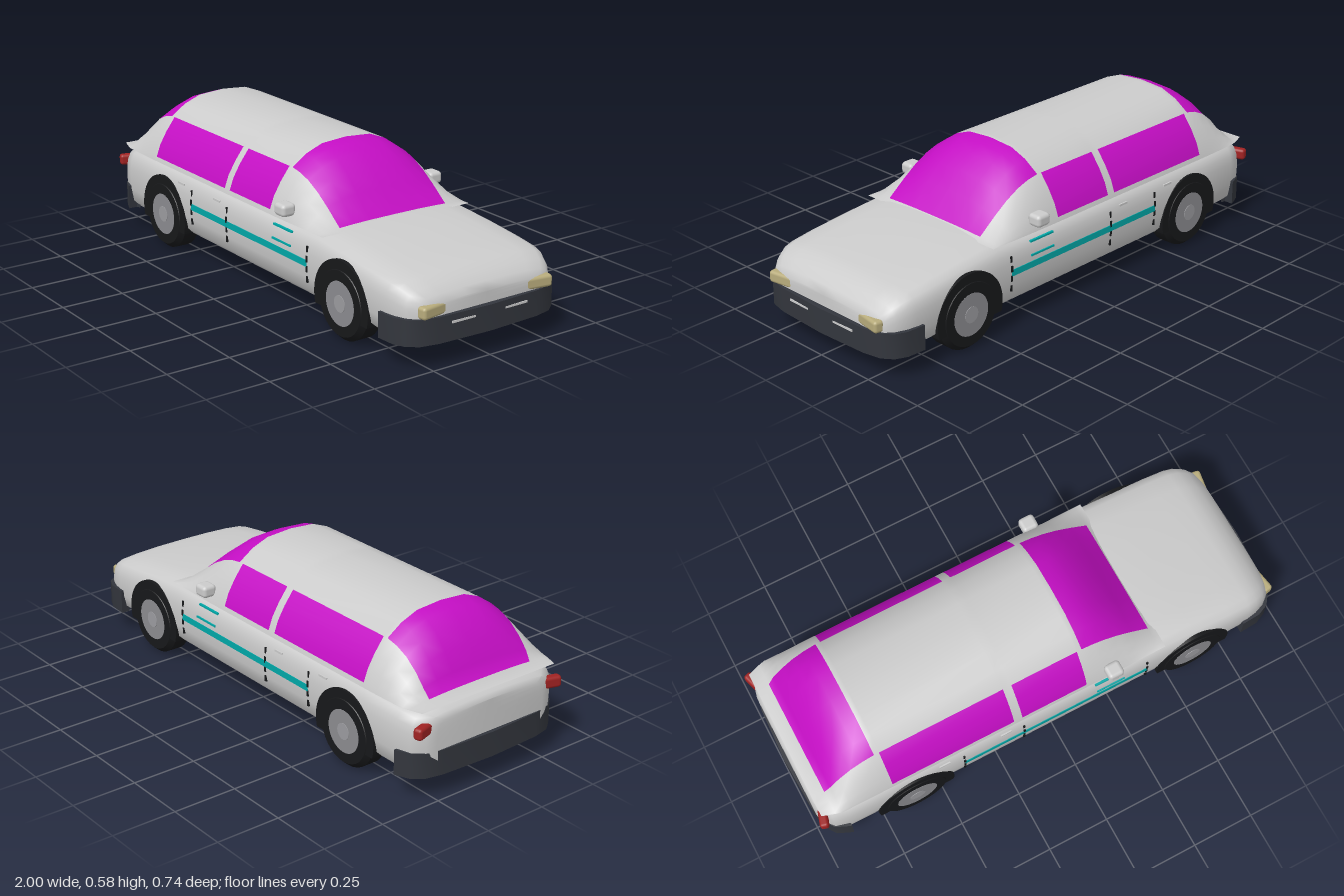
import * as THREE from 'three';
import { toCreasedNormals } from 'three/addons/utils/BufferGeometryUtils.js';
import { RoundedBoxGeometry } from 'three/addons/geometries/RoundedBoxGeometry.js';

const mat = (color) => new THREE.MeshStandardMaterial({ color, side: THREE.DoubleSide });
const paint = mat(0xcccccc), glass = mat(0xc40ec4), rubber = mat(0x17181a), trim = mat(0x33363d);
const teal = mat(0x00a8a8), red = mat(0xa02222), lamp = mat(0xb8ac7c);

// Vertices of cross-sections placed one after another along x
function ringGeometry(rings) {
  const g = new THREE.BufferGeometry();
  g.setAttribute('position', new THREE.Float32BufferAttribute(rings.flat(2), 3));
  return g;
}

// Quads between neighbouring sections, kept where keep(i, j) is true
function quads(rings, closed, keep = () => true) {
  const n = rings[0].length, index = [];
  for (let i = 0; i < rings.length - 1; i++) {
    for (let j = 0; j < (closed ? n : n - 1); j++) {
      if (!keep(i, j)) continue;
      const k = (j + 1) % n, a = i * n + j, b = a + n, c = (i + 1) * n + k, d = i * n + k;
      index.push(a, b, c, a, c, d);
    }
  }
  return index;
}

// Half section from the +z side to the middle, mirrored to the -z side
const mirrored = (half) => [...half, ...half.slice(0, -1).reverse().map(([z, y]) => [-z, y])];

export function createModel() {
  const car = new THREE.Group();
  const add = (name, geo, material, x = 0, y = 0, z = 0) => {
    const m = new THREE.Mesh(geo, material);
    m.name = name;
    m.position.set(x, y, z);
    car.add(m);
    return m;
  };

  // Lower body: section as fractions of half width and height
  const bodySection = mirrored([[0.88, 0], [0.96, 0.1], [0.99, 0.3], [1, 0.5], [0.995, 0.65],
    [0.98, 0.77], [0.94, 0.88], [0.86, 0.94], [0.65, 0.975], [0.35, 0.995], [0, 1]]);
  // x, half width, top, bottom
  const bodyStations = [
    [-0.985, 0, 0.31, 0.11], [-0.985, 0.25, 0.31, 0.11], [-0.975, 0.29, 0.328, 0.1], [-0.94, 0.33, 0.342, 0.095],
    [-0.88, 0.347, 0.356, 0.093], [-0.7, 0.348, 0.36, 0.093], [0.44, 0.348, 0.358, 0.093],
    [0.6, 0.348, 0.345, 0.093], [0.76, 0.348, 0.327, 0.093], [0.85, 0.345, 0.315, 0.093],
    [0.89, 0.338, 0.306, 0.094], [0.93, 0.322, 0.285, 0.095], [0.96, 0.298, 0.26, 0.1],
    [0.978, 0.26, 0.235, 0.105], [0.978, 0, 0.235, 0.105]];
  const bodyRings = bodyStations.map(([x, w, top, bot]) =>
    bodySection.map(([z, f]) => [x, bot + f * (top - bot), z * w]));
  const bodyGeo = ringGeometry(bodyRings);
  bodyGeo.setIndex(quads(bodyRings, true));
  add('lowerBody', toCreasedNormals(bodyGeo, 0.75), paint);

  // Cabin: one section scaled in height along x, glass cut out by grid cells
  const cabinSection = mirrored([[0.335, 0.34], [0.33, 0.357], [0.312, 0.405], [0.282, 0.455],
    [0.242, 0.508], [0.18, 0.55], [0.11, 0.577], [0, 0.585]]);
  // x, height scale, width scale
  const cabinStations = [[-0.975, 0, 0.93], [-0.925, 0.07, 0.98], [-0.9, 0.28, 1], [-0.86, 0.55, 1],
    [-0.81, 0.79, 1], [-0.76, 0.93, 1], [-0.71, 1, 1], [-0.69, 1, 1], [-0.18, 1, 1], [-0.145, 1, 1],
    [0.13, 1, 1], [0.15, 1, 1], [0.2, 0.95, 1], [0.25, 0.85, 1], [0.31, 0.66, 1], [0.37, 0.41, 1],
    [0.445, 0.06, 1], [0.47, 0, 1]];
  const cabinRings = cabinStations.map(([x, s, w]) =>
    cabinSection.map(([z, y]) => [x, 0.345 + s * (y - 0.345), z * w]));
  const cabinGeo = ringGeometry(cabinRings);
  cabinGeo.setIndex(quads(cabinRings, false));
  cabinGeo.computeVertexNormals();
  const isGlass = (i, j) => {
    const side = (j >= 1 && j <= 3) || (j >= 10 && j <= 12);
    const middle = j >= 4 && j <= 9;
    return (side && (i === 7 || i === 9)) || (middle && ((i >= 1 && i <= 5) || (i >= 11 && i <= 15)));
  };
  const cabinPart = (name, material, keep) => {
    const g = cabinGeo.clone();
    g.setIndex(quads(cabinRings, false, keep));
    add(name, g, material);
  };
  cabinPart('cabinShell', paint, (i, j) => !isGlass(i, j));
  cabinPart('windows', glass, isGlass);

  // Bumpers: a U-shaped band wrapping each end
  const bumper = (name, dir, back) => {
    const outer = [[back, 0.355], [0.9, 0.35], [0.945, 0.33], [0.975, 0.29], [0.99, 0.22], [1, 0]];
    const full = mirrored(outer.map(([x, z]) => [z, x])).map(([z, x]) => new THREE.Vector2(x * dir, z));
    const inner = full.map((p) => new THREE.Vector2(p.x - dir * (Math.abs(p.x) > back ? 0.035 : 0), p.y * 0.9));
    const geo = new THREE.ExtrudeGeometry(new THREE.Shape([...full, ...inner.reverse()]),
      { depth: 0.097, bevelEnabled: false });
    geo.rotateX(Math.PI / 2);
    add(name, toCreasedNormals(geo, 0.6), trim, 0, 0.186, 0);
  };
  bumper('frontBumper', 1, 0.825);
  bumper('rearBumper', -1, 0.885);
  add('bumperStrip', new THREE.BoxGeometry(0.02, 0.008, 0.335), paint, 0.987, 0.158, 0);

  // Wheels and arches
  const tyreProfile = [[0.08, -0.05], [0.122, -0.05], [0.14, -0.03], [0.14, 0.03], [0.122, 0.05], [0.08, 0.05]]
    .map(([r, y]) => new THREE.Vector2(r, y));
  const tyre = toCreasedNormals(new THREE.LatheGeometry(tyreProfile, 32).rotateX(Math.PI / 2), 0.5);
  const rim = new THREE.CylinderGeometry(0.083, 0.083, 0.102, 32).rotateX(Math.PI / 2);
  const hub = new THREE.CylinderGeometry(0.032, 0.032, 0.106, 20).rotateX(Math.PI / 2);
  const archShape = new THREE.Shape();
  archShape.absarc(0, 0, 0.16, -0.28, Math.PI + 0.28, false);
  const arch = new THREE.ExtrudeGeometry(archShape, { depth: 0.1, bevelEnabled: false, curveSegments: 32 });
  arch.translate(0, 0, -0.05);

  for (const s of [1, -1]) {
    const side = s > 0 ? 'Left' : 'Right';
    const prefix = s > 0 ? 'near' : 'far';
    for (const [end, x] of [['Front', 0.6], ['Rear', -0.61]]) {
      add(prefix + end + 'Arch', arch, rubber, x, 0.14, s * 0.3);
      add(prefix + end + 'Tyre', tyre, rubber, x, 0.14, s * 0.3025);
      add(prefix + end + 'Rim', rim, mat(0x8c8c90), x, 0.14, s * 0.3025);
      add(prefix + end + 'Hub', hub, mat(0x9c9ca0), x, 0.14, s * 0.3025);
    }

    // Side stripe, thin accent lines, door seams and handles
    add(prefix + 'SideStripe', new THREE.BoxGeometry(0.79, 0.025, 0.012), teal, -0.005, 0.226, s * 0.344);
    for (const [x, y, z] of [[0.225, 0.313, 0.334], [0.23, 0.263, 0.344]]) {
      add(prefix + 'AccentLine', new THREE.BoxGeometry(0.12, 0.007, 0.014), teal, x, y, s * z);
    }
    for (const x of [-0.4, -0.145, 0.39]) {
      for (const [y, z] of [[0.165, 0.342], [0.205, 0.344], [0.243, 0.345], [0.28, 0.341]]) {
        add(prefix + 'DoorSeam', new THREE.BoxGeometry(0.008, 0.024, 0.011), rubber, x, y, s * z);
      }
    }
    for (const x of [-0.48, -0.22]) {
      add(prefix + 'DoorHandle', new THREE.BoxGeometry(0.045, 0.008, 0.014), paint, x, 0.3, s * 0.337);
    }

    // Door mirror on a short stalk
    add(prefix + 'Mirror', new RoundedBoxGeometry(0.065, 0.048, 0.06, 2, 0.015), paint, 0.24, 0.39, s * 0.339);
    add(prefix + 'MirrorStalk', new THREE.BoxGeometry(0.035, 0.02, 0.05), paint, 0.24, 0.375, s * 0.318);

    // Lamps follow the rounded corners
    const head = add(prefix + 'Headlamp', new RoundedBoxGeometry(0.04, 0.046, 0.135, 2, 0.012), lamp, 0.964, 0.209, s * 0.224);
    head.rotation.y = s * 0.16;
    const tail = add(prefix + 'Taillamp', new RoundedBoxGeometry(0.035, 0.045, 0.12, 2, 0.012), red, -0.963, 0.275, s * 0.282);
    tail.rotation.y = -s * 0.3;
  }
  return car;
}
